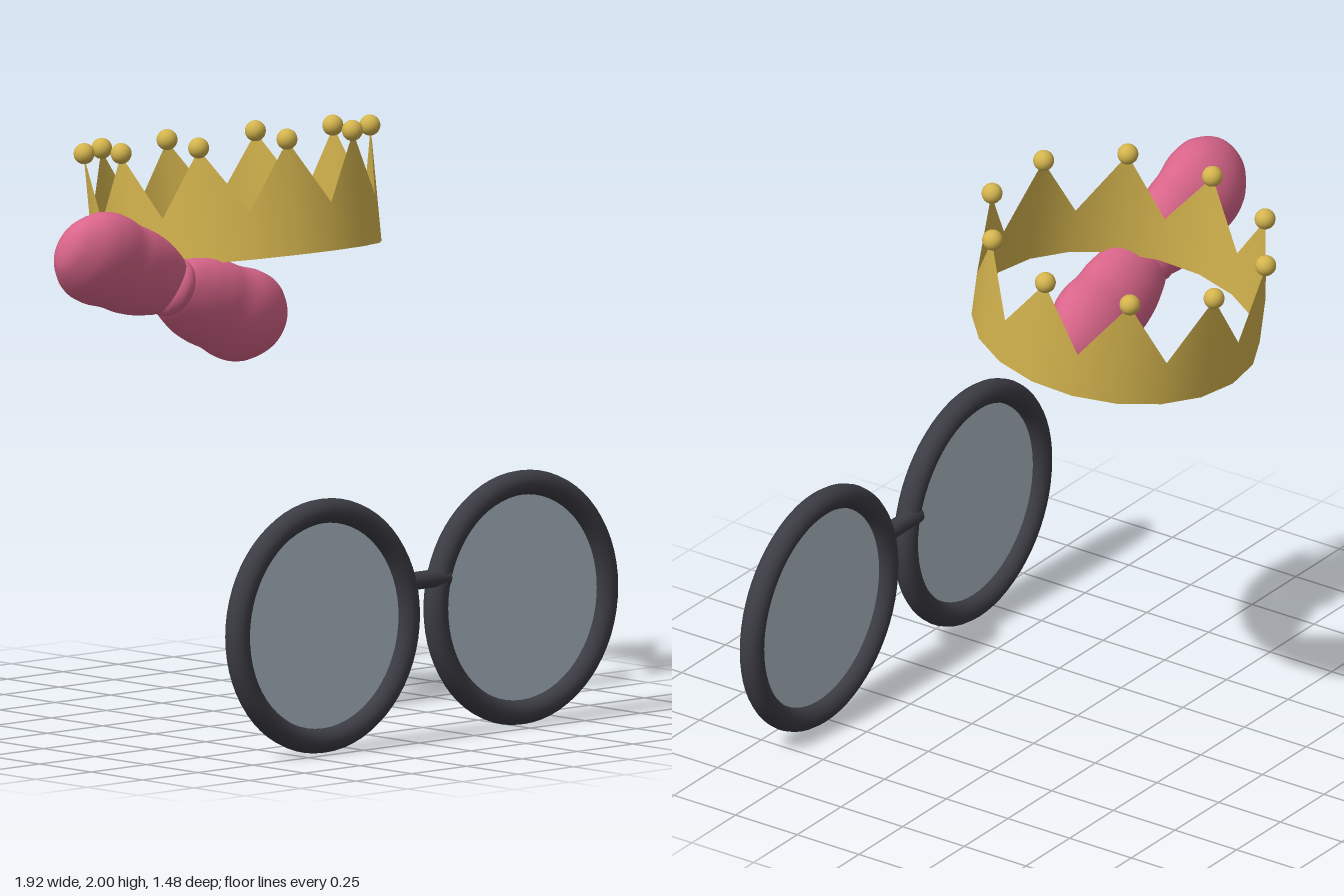
import * as THREE from 'three';

const mat = (name, color, side = THREE.FrontSide) => {
  const m = new THREE.MeshStandardMaterial({ color, side });
  m.name = name;
  return m;
};

export function createModel() {
  const gold = mat('gold', 0xd4b44e, THREE.DoubleSide);
  const pink = mat('pink', 0xd9658a);
  const charcoal = mat('charcoal', 0x3c3c44);
  const glass = mat('glass', 0xb0bfc9, THREE.DoubleSide);

  const model = new THREE.Group();
  const add = (parent, name, geometry, material, x = 0, y = 0, z = 0) => {
    const mesh = new THREE.Mesh(geometry, material);
    mesh.name = name;
    mesh.position.set(x, y, z);
    parent.add(mesh);
    return mesh;
  };
  const group = (name, x, y, z) => {
    const g = new THREE.Group();
    g.name = name;
    g.position.set(x, y, z);
    model.add(g);
    return g;
  };

  // Crown: open band whose top edge zigzags, with a ball on each point
  const crown = group('crown', 0.067, 1.5225, -0.2025);
  crown.rotation.x = -0.14;
  const radius = 0.48, points = 10, tip = 0.38, valley = 0.16;
  const columns = points * 2;
  const band = new THREE.CylinderGeometry(radius, radius, 1, columns, 1, true);
  const pos = band.attributes.position;
  for (let i = 0; i < pos.count; i++) {
    const column = i % (columns + 1);
    const top = column % 2 ? tip : valley;
    pos.setY(i, pos.getY(i) > 0 ? top : 0);
  }
  add(crown, 'crownBand', band, gold);
  const ball = new THREE.SphereGeometry(0.035, 20, 14);
  for (let i = 0; i < points; i++) {
    const a = (i / points) * Math.PI * 2;
    add(crown, 'crownBall', ball, gold, 0.478 * Math.cos(a), 0.385, 0.478 * Math.sin(a));
  }

  // Bow: two puffy flattened lobes and a knot
  const bow = group('bow', -0.47, 1.497, 0.048);
  bow.rotation.order = 'ZYX';
  bow.rotation.set(0.36, 0, -0.38);
  const profile = new THREE.SplineCurve([
    [0, -0.02], [0.09, 0], [0.133, 0.09], [0.15, 0.18], [0.152, 0.25],
    [0.162, 0.33], [0.148, 0.41], [0.098, 0.48], [0.05, 0.508], [0, 0.517],
  ].map(([r, s]) => new THREE.Vector2(r, s))).getPoints(36);
  profile.forEach((p) => { p.x = Math.max(p.x, 0); });
  const lobe = new THREE.LatheGeometry(profile, 28);
  lobe.rotateZ(-Math.PI / 2);
  lobe.scale(1, 1, 0.68);
  add(bow, 'bowLeftLobe', lobe, pink);
  add(bow, 'bowRightLobe', lobe, pink).rotation.z = Math.PI;
  const knot = new THREE.SphereGeometry(1, 24, 16);
  knot.scale(0.062, 0.103, 0.094);
  add(bow, 'bowKnot', knot, pink);

  // Glasses: round rims with flat lenses, joined by a short bridge
  const glasses = group('glasses', 0, 0.425, 0);
  const rim = new THREE.TorusGeometry(0.384, 0.041, 16, 64);
  const lens = new THREE.CircleGeometry(0.365, 64);
  for (const [side, x, z] of [['right', -0.39, 0.7], ['left', 0.535, 0.668]]) {
    add(glasses, side + 'Rim', rim, charcoal, x, 0, z);
    add(glasses, side + 'Lens', lens, glass, x, 0, z);
  }
  const bridge = new THREE.CylinderGeometry(0.03, 0.03, 0.23, 20);
  bridge.rotateZ(Math.PI / 2);
  add(glasses, 'bridge', bridge, charcoal, 0.07, 0.105, 0.682);

  return model;
}
